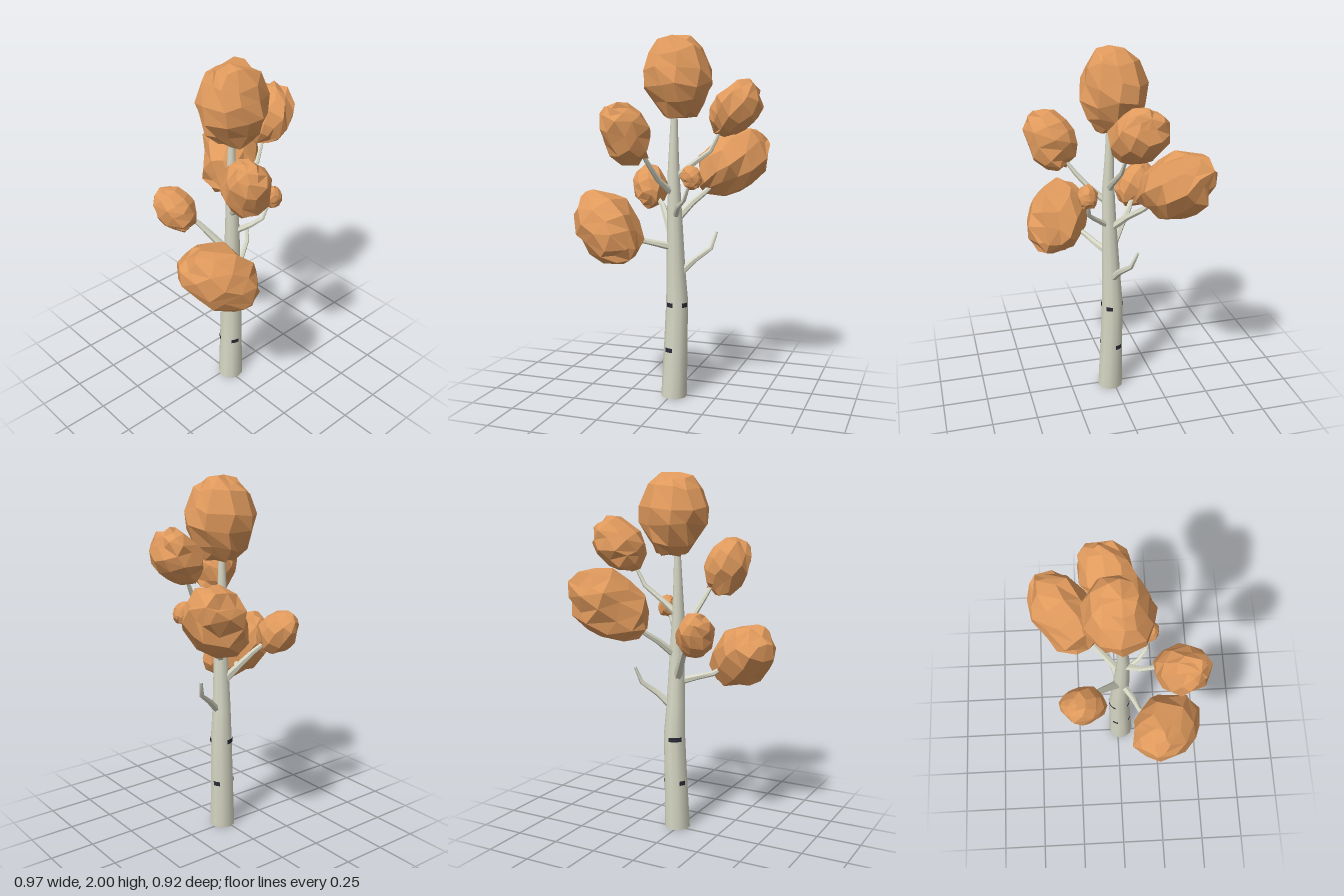
import * as THREE from 'three';
import { mergeVertices, toCreasedNormals } from 'three/addons/utils/BufferGeometryUtils.js';

const bark = new THREE.MeshStandardMaterial({ color: 0xd6d6c4 });
bark.name = 'pale bark';
const mark = new THREE.MeshStandardMaterial({ color: 0x2a2a38 });
mark.name = 'dark bark mark';
mark.side = THREE.DoubleSide;
const leaf = new THREE.MeshStandardMaterial({ color: 0xdf995c });
leaf.name = 'orange foliage';

// Tapered limb: stations are [x, y, z, radius]
function limb(stations, sides, upright) {
  const pts = stations.map(s => new THREE.Vector3(s[0], s[1], s[2]));
  const up = new THREE.Vector3(0, 1, 0);
  const pos = [], idx = [];
  const n = pts.length;
  pts.forEach((p, i) => {
    const dir = pts[Math.min(i + 1, n - 1)].clone().sub(pts[Math.max(i - 1, 0)]).normalize();
    const q = new THREE.Quaternion().setFromUnitVectors(up, upright ? up : dir);
    for (let k = 0; k < sides; k++) {
      const a = k / sides * Math.PI * 2;
      const v = new THREE.Vector3(Math.sin(a), 0, Math.cos(a)).multiplyScalar(stations[i][3]);
      pos.push(...v.applyQuaternion(q).add(p).toArray());
    }
  });
  pos.push(...pts[0].toArray(), ...pts[n - 1].toArray());
  const c0 = n * sides, c1 = c0 + 1;
  for (let k = 0; k < sides; k++) {
    const k2 = (k + 1) % sides;
    for (let i = 0; i < n - 1; i++) {
      const a = i * sides + k, b = i * sides + k2;
      idx.push(a, b, b + sides, a, b + sides, a + sides);
    }
    idx.push(c0, k2, k, c1, (n - 1) * sides + k, (n - 1) * sides + k2);
  }
  const g = new THREE.BufferGeometry();
  g.setAttribute('position', new THREE.Float32BufferAttribute(pos, 3));
  g.setIndex(idx);
  return toCreasedNormals(g, 0.9);
}

// Seeded random numbers
function seeded(seed) {
  let s = seed * 7919 + 13;
  return () => (s = (s * 16807) % 2147483647) / 2147483647;
}

// Faceted foliage clump with its poles on a long axis, fitted to a box
function clump(min, max, axis, stretch, seed) {
  let g = new THREE.SphereGeometry(1, 10, 7);
  g.deleteAttribute('normal');
  g.deleteAttribute('uv');
  g = mergeVertices(g, 1e-3);
  const rnd = seeded(seed);
  const p = g.attributes.position;
  const v = new THREE.Vector3();
  const q = new THREE.Quaternion().setFromUnitVectors(
    new THREE.Vector3(0, 1, 0), new THREE.Vector3(...axis).normalize());
  for (let i = 0; i < p.count; i++) {
    v.fromBufferAttribute(p, i);
    v.x += (rnd() - 0.5) * 0.2;
    v.y += (rnd() - 0.5) * 0.2;
    v.z += (rnd() - 0.5) * 0.2;
    v.y *= stretch;
    v.applyQuaternion(q);
    p.setXYZ(i, v.x, v.y, v.z);
  }
  g.computeBoundingBox();
  const { min: lo, max: hi } = g.boundingBox;
  const fit = (t, a, b, c, d) => c + (t - a) / (b - a) * (d - c);
  for (let i = 0; i < p.count; i++) {
    p.setXYZ(i, fit(p.getX(i), lo.x, hi.x, min[0], max[0]),
      fit(p.getY(i), lo.y, hi.y, min[1], max[1]),
      fit(p.getZ(i), lo.z, hi.z, min[2], max[2]));
  }
  g = g.toNonIndexed();
  g.computeVertexNormals();
  return g;
}

export function createModel() {
  const tree = new THREE.Group();
  tree.name = 'tree';
  const add = (geometry, material, name) => {
    const m = new THREE.Mesh(geometry, material);
    m.name = name;
    tree.add(m);
    return m;
  };

  // Trunk
  add(limb([
    [0.015, 0, 0.02, 0.073], [0.022, 0.28, 0.014, 0.066], [0.029, 0.55, 0.01, 0.061],
    [0.023, 0.72, 0.015, 0.053], [0.02, 1.0, 0.024, 0.042], [0.014, 1.24, 0.028, 0.034],
    [0.013, 1.4, 0.022, 0.026], [0.016, 1.65, 0.02, 0.015],
  ], 10, true), bark, 'trunk');

  // Branches
  const branches = {
    bareBranch: [[0.03, 0.69, 0.02, 0.022], [0.12, 0.78, -0.01, 0.017], [0.205, 0.845, -0.05, 0.013], [0.23, 0.935, -0.08, 0.008]],
    lowerRightBranch: [[0.01, 0.855, 0.03, 0.022], [-0.08, 0.88, 0.08, 0.017], [-0.16, 0.9, 0.115, 0.015], [-0.25, 0.97, 0.22, 0.01]],
    backRightBranch: [[0.01, 0.88, 0.01, 0.026], [-0.05, 0.98, -0.06, 0.02], [-0.1, 1.06, -0.12, 0.016], [-0.17, 1.13, -0.17, 0.01]],
    backLeftBranch: [[0.03, 1.01, 0.015, 0.023], [0.09, 1.09, -0.06, 0.018], [0.15, 1.15, -0.13, 0.015], [0.23, 1.26, -0.24, 0.01]],
    smallBranch: [[0.03, 1.03, 0.04, 0.017], [0.07, 1.09, 0.12, 0.014], [0.115, 1.13, 0.16, 0.012], [0.16, 1.25, 0.175, 0.008]],
    frontBranch: [[0.01, 1.15, 0.03, 0.02], [-0.04, 1.23, 0.12, 0.016], [-0.065, 1.31, 0.19, 0.013], [-0.1, 1.41, 0.26, 0.008]],
    upperLeftBranch: [[0.015, 1.23, 0.025, 0.021], [0.1, 1.3, 0.02, 0.016], [0.215, 1.385, 0.01, 0.013], [0.28, 1.52, -0.01, 0.008]],
  };
  for (const [name, stations] of Object.entries(branches)) add(limb(stations, 6, false), bark, name);

  // Dark marks wrapped on the trunk: [centre, radius, start and end angles]
  const bands = [
    [[0.022, 0.276, 0.014], 0.067, [[-0.7, 0], [1.72, 2.35], [3.95, 4.5]]],
    [[0.029, 0.532, 0.01], 0.063, [[-0.75, -0.1], [0.75, 1.4], [3.1, 4.3]]],
  ];
  for (const [centre, r, spans] of bands) {
    for (const [a, b] of spans) {
      const g = new THREE.CylinderGeometry(r, r, 0.025, 4, 1, true, a, b - a);
      add(g, mark, 'barkMark').position.set(...centre);
    }
  }

  // Foliage: [name, box min, box max, long axis, stretch]
  const clumps = [
    ['crownFoliage', [-0.165, 1.555, -0.172], [0.23, 2.0, 0.192], [-0.08, 1, 0], 1.2],
    ['upperLeftFoliage', [0.2, 1.46, -0.185], [0.485, 1.77, 0.108], [0.6, 0.6, -0.15], 1.3],
    ['backLeftFoliage', [0.068, 1.115, -0.46], [0.47, 1.5, -0.085], [0.6, 0.4, -0.4], 1.4],
    ['frontFoliage', [-0.285, 1.32, 0.17], [-0.02, 1.645, 0.455], [-0.4, 0.7, 0.4], 1.25],
    ['lowerRightFoliage', [-0.487, 0.8, 0.06], [-0.083, 1.18, 0.44], [-0.6, 0.6, -0.3], 1.4],
    ['backRightFoliage', [-0.31, 1.037, -0.32], [-0.1, 1.288, -0.065], [-0.2, 0.5, -0.4], 1.2],
    ['smallFoliage', [0.1, 1.19, 0.122], [0.22, 1.318, 0.23], [-0.5, 0.5, 0], 1.1],
  ];
  clumps.forEach(([name, min, max, axis, stretch], i) =>
    add(clump(min, max, axis, stretch, i + 3), leaf, name));

  return tree;
}
